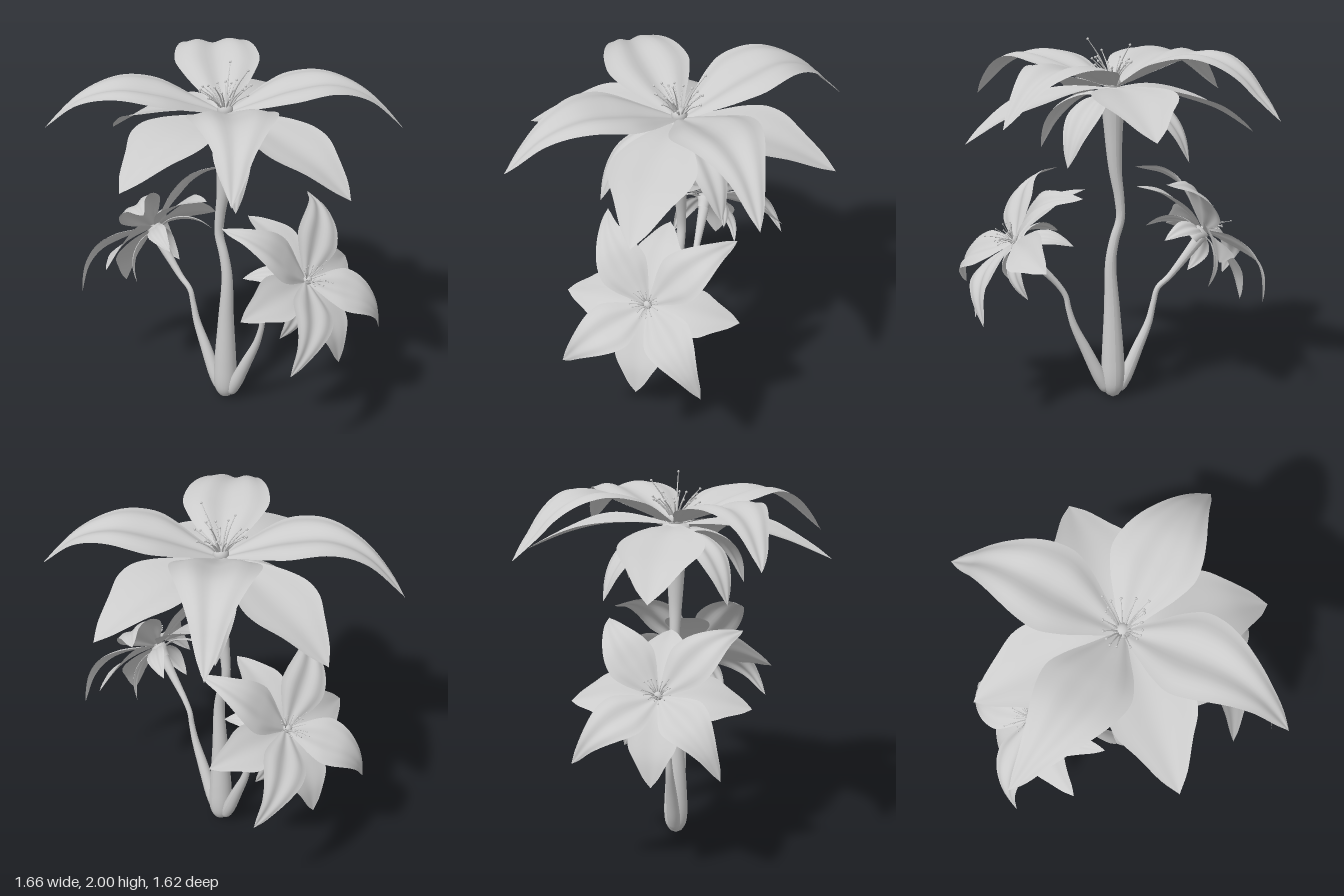
import * as THREE from 'three';

const mat = new THREE.MeshStandardMaterial({ color: 0xcccccc, side: THREE.DoubleSide });
const deg = THREE.MathUtils.degToRad;
const v = (x, y, z) => new THREE.Vector3(x, y, z);

function add(group, name, geometry) {
  const mesh = new THREE.Mesh(geometry, mat);
  mesh.name = name;
  group.add(mesh);
  return mesh;
}

// Smooth 1D interpolation through evenly spaced values
function profile(values) {
  const c = new THREE.SplineCurve(values.map((w, i) => new THREE.Vector2(i, w)));
  return t => c.getPoint(t).y;
}

// Tube whose radius varies along its path, with a rounded foot
function taperedTube(points, radii, segments = 80, sides = 20, foot = 0.045) {
  const curve = new THREE.CatmullRomCurve3(points);
  const geo = new THREE.TubeGeometry(curve, segments, 1, sides);
  const pos = geo.attributes.position, radius = profile(radii), p = v(0, 0, 0);
  for (let i = 0; i < pos.count; i++) {
    const t = Math.floor(i / (sides + 1)) / segments;
    const c = curve.getPointAt(t);
    const round = Math.sqrt(1 - Math.max(1 - t / foot, 0) ** 2);
    p.fromBufferAttribute(pos, i).sub(c).multiplyScalar(Math.max(radius(t) * round, 0.001)).add(c);
    pos.setXYZ(i, p.x, p.y, p.z);
  }
  geo.computeVertexNormals();
  return geo;
}

// Petal: a grid swept outward along a spine (r, y), with width, groove, cup, sideways twist and tip rise
function petal({ spine, widths, angle, twist = 0, length = 1, lift = 1, rise = 0, groove = 0, cup = 0 }) {
  const geo = new THREE.PlaneGeometry(1, 1, 16, 36);
  const pos = geo.attributes.position;
  const curve = new THREE.SplineCurve(spine.map(([r, y]) => new THREE.Vector2(r, y)));
  const width = profile(widths);
  for (let i = 0; i < pos.count; i++) {
    const s = pos.getX(i) * 2, t = pos.getY(i) + 0.5;
    const c = curve.getPoint(t), w = Math.max(width(t), 0);
    const tangent = curve.getTangent(t);
    const a = Math.abs(s);
    const h = w * (groove * Math.sin(Math.PI * a) ** 2 + cup * a * a);
    const x = -s * w, r = (c.x - tangent.y * h) * length;
    const y = c.y * (c.y > 0 ? lift : 1) + tangent.x * h + rise * t ** 3;
    const turn = deg(angle + twist * t * t);
    pos.setXYZ(i, x * Math.cos(turn) + r * Math.sin(turn), y, -x * Math.sin(turn) + r * Math.cos(turn));
  }
  geo.computeVertexNormals();
  return geo;
}

// Petal spines as (distance from centre, height)
const archSpine = [[0.02, -0.02], [0.16, 0.03], [0.35, 0.09], [0.56, 0.115], [0.76, 0.045], [0.95, -0.13]];
const flatSpine = [[0.02, -0.03], [0.2, -0.02], [0.4, -0.035], [0.6, -0.09], [0.83, -0.19]];
const droopSpine = [[0.02, -0.03], [0.2, -0.04], [0.4, -0.095], [0.6, -0.17], [0.8, -0.3]];
const sideSpine = [[0.02, -0.03], [0.2, -0.02], [0.4, -0.045], [0.6, -0.1], [0.8, -0.22]];
const sepalSpine = [[0.03, -0.07], [0.16, -0.07], [0.3, -0.14], [0.4, -0.25], [0.46, -0.39]];

// Upper petals as [angle, twist, length, lift, rise]
const topUpper = [[45, -4, 0.99, 1, 0], [135, -1, 1.03, 1.4, 0], [225, -10, 1.005, 1, 0], [315, -5, 0.995, 1, 0]];
const sideUpper = [[45, -5, 1.02, 1, 0], [135, 1, 1.05, 1.1, 0.09], [225, -10, 1.03, 1, 0.09], [315, -3, 1.02, 1, 0]];

// Flower with its centre at the origin, opening along +y
function createFlower(name, upper, zSpine) {
  const flower = new THREE.Group();
  flower.name = name;

  // Four large arching petals on the diagonals
  const upperWidth = [0.03, 0.07, 0.125, 0.185, 0.228, 0.22, 0.185, 0.14, 0.095, 0.05, 0.0];
  upper.forEach(([angle, twist, length, lift, rise]) => add(flower, 'upperPetal', petal({
    spine: archSpine, widths: upperWidth, angle, twist, length, lift, rise, groove: 0.12, cup: 0.06 })));

  // Four lower petals on the axes
  const lowerWidth = [0.02, 0.06, 0.12, 0.18, 0.22, 0.21, 0.15, 0.08, 0.0];
  for (let i = 0; i < 4; i++) {
    add(flower, 'lowerPetal', petal({
      spine: i % 2 ? flatSpine : zSpine, widths: lowerWidth, angle: i * 90, groove: 0.03, cup: 0.14 }));
  }

  // Sepals hanging underneath
  const sepalWidth = [0.025, 0.055, 0.085, 0.098, 0.08, 0.045, 0.0];
  for (let i = 0; i < 4; i++) {
    add(flower, 'sepal', petal({
      spine: sepalSpine, widths: sepalWidth, angle: 45 + i * 90, groove: 0.15 }));
  }

  // Centre and cup where the petals meet the stem
  add(flower, 'flowerCentre', new THREE.SphereGeometry(0.042, 20, 14)).position.y = -0.005;
  const cupProfile = [[0.055, -0.16], [0.062, -0.1], [0.08, -0.06], [0.07, -0.03], [0, -0.01]];
  add(flower, 'flowerCup', new THREE.LatheGeometry(cupProfile.map(p => new THREE.Vector2(...p)), 24));

  // Stamens: thin bent filaments with small round tips
  const count = 16;
  for (let i = 0; i < count; i++) {
    const a = (i / count) * Math.PI * 2 + 0.15 * Math.sin(i * 5);
    const r = 0.115 + 0.02 * Math.sin(i * 7), y = 0.11 + 0.025 * Math.sin(i * 3 + 1);
    addStamen(flower, r * Math.sin(a), y, r * Math.cos(a));
  }
  addStamen(flower, 0.01, 0.235, 0.14);
  addStamen(flower, 0.12, 0.21, -0.06);
  addStamen(flower, -0.125, 0.16, 0.03);
  return flower;
}

function addStamen(flower, x, y, z) {
  const path = [v(x * 0.15, 0, z * 0.15), v(x * 0.5, y * 0.55, z * 0.5), v(x, y, z)];
  add(flower, 'stamenFilament', taperedTube(path, [0.006, 0.004, 0.002], 8, 6));
  add(flower, 'stamenTip', new THREE.SphereGeometry(0.007, 8, 6)).position.set(x, y, z);
}

export function createModel() {
  const model = new THREE.Group();

  // Main stem with a rounded foot and a gentle bend
  add(model, 'mainStem', taperedTube(
    [v(0, 0, 0), v(0, 0.2, 0), v(0, 0.5, 0.005), v(0, 0.78, 0.012), v(0, 0.9, -0.008),
      v(0, 1.02, -0.042), v(0, 1.13, -0.036), v(0, 1.3, -0.012), v(0, 1.62, 0), v(0, 1.73, 0)],
    [0.052, 0.065, 0.062, 0.055, 0.047, 0.04, 0.034, 0.029, 0.026, 0.025, 0.028, 0.034, 0.042, 0.05, 0.06, 0.07],
    96));

  // Side stems to the front and back
  const sideRadii = [0.03, 0.036, 0.033, 0.028, 0.022, 0.017, 0.015, 0.017, 0.022, 0.028, 0.034];
  const frontPath = [[0.03, 0.03], [0.07, 0.11], [0.15, 0.28], [0.22, 0.43], [0.25, 0.53],
    [0.265, 0.6], [0.305, 0.665], [0.41, 0.78], [0.535, 0.915]];
  const backPath = [[0.03, 0.03], [0.07, 0.11], [0.14, 0.27], [0.205, 0.42], [0.232, 0.53],
    [0.255, 0.61], [0.32, 0.67], [0.41, 0.775], [0.515, 0.905]];
  add(model, 'frontStem', taperedTube(frontPath.map(([z, y]) => v(0, y, z)), sideRadii));
  add(model, 'backStem', taperedTube(backPath.map(([z, y]) => v(0, y, -z)), sideRadii));

  // Large flower on top
  const top = createFlower('topFlower', topUpper, droopSpine);
  top.position.y = 1.76;
  model.add(top);

  // Two smaller flowers tilted outward
  [['frontFlower', 0, 0.552], ['backFlower', Math.PI, -0.527]].forEach(([name, turn, z]) => {
    const flower = createFlower(name, sideUpper, sideSpine);
    flower.scale.setScalar(0.57);
    flower.rotation.set(deg(48), turn, 0, 'YXZ');
    flower.position.set(0, 0.935, z);
    model.add(flower);
  });
  return model;
}
